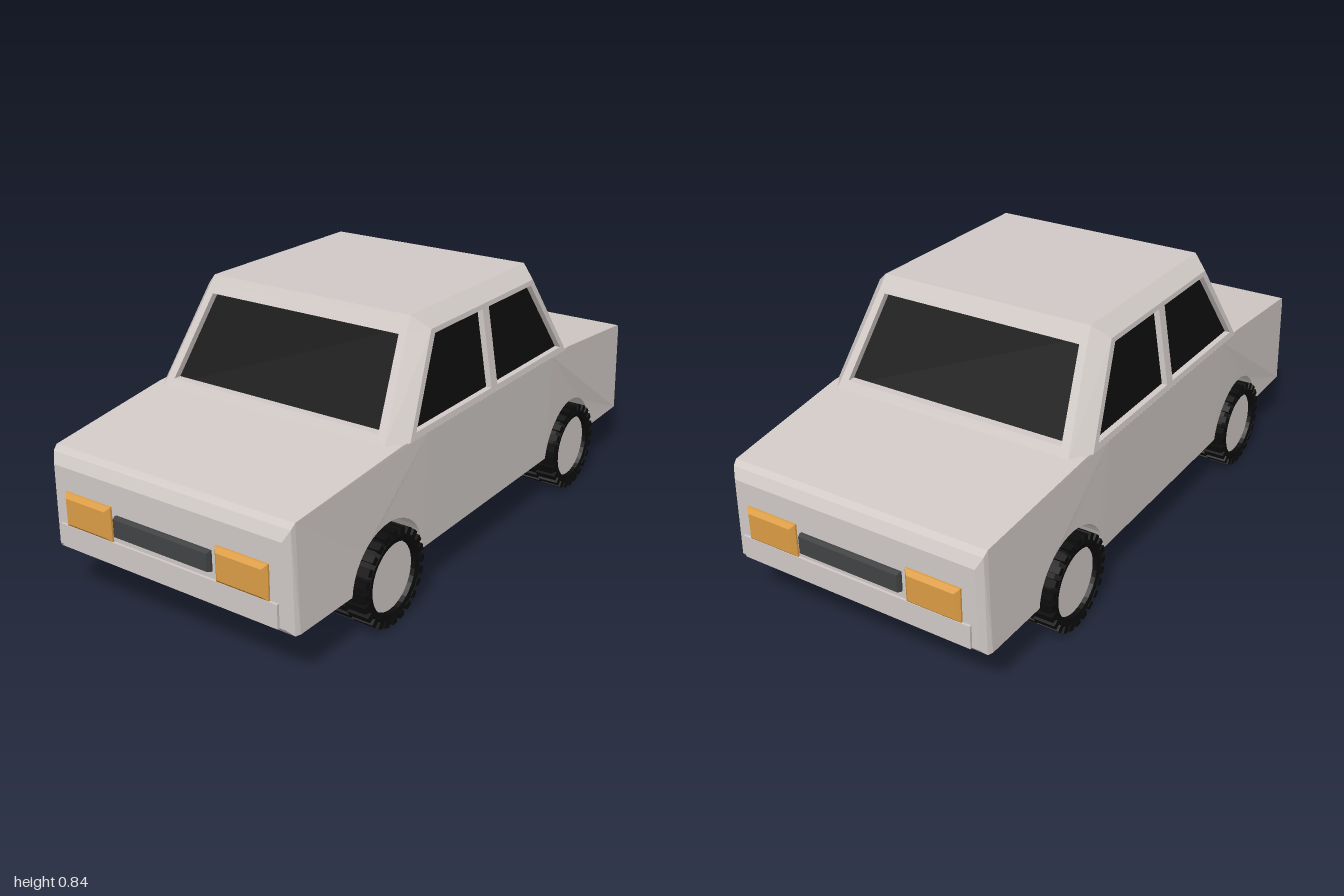
import * as THREE from 'three';

const mat = (color, side = THREE.FrontSide) =>
  new THREE.MeshStandardMaterial({ color, side, flatShading: true });
const paint = mat(0xd0c9c6), black = mat(0x0d0d0d), rubber = mat(0x0b0b0b, THREE.DoubleSide);
const amber = mat(0xdc9d45), dark = mat(0x414344);

function mesh(name, geometry, material, parent) {
  const m = new THREE.Mesh(geometry, material);
  m.name = name;
  parent.add(m);
  return m;
}

// Closed solid through matching rings of [x, y, z]; skip(band, side) leaves faces open
function loft(rings, skip = () => false) {
  const pos = [], n = rings[0].length, last = rings[rings.length - 1];
  const tri = (a, b, c) => pos.push(...a, ...b, ...c);
  for (let r = 0; r < rings.length - 1; r++) {
    for (let i = 0; i < n; i++) {
      if (skip(r, i)) continue;
      const j = (i + 1) % n, a = rings[r], b = rings[r + 1];
      tri(a[i], a[j], b[j]);
      tri(a[i], b[j], b[i]);
    }
  }
  for (let i = 1; i < n - 1; i++) {
    tri(rings[0][0], rings[0][i + 1], rings[0][i]);
    tri(last[0], last[i], last[i + 1]);
  }
  const g = new THREE.BufferGeometry();
  g.setAttribute('position', new THREE.Float32BufferAttribute(pos, 3));
  g.computeVertexNormals();
  return g;
}

const shapeOf = (pts, holes = []) => {
  const s = new THREE.Shape(pts.map(p => new THREE.Vector2(...p)));
  for (const h of holes) s.holes.push(new THREE.Path(h.map(p => new THREE.Vector2(...p))));
  return s;
};
const extrude = (shape, depth) =>
  new THREE.ExtrudeGeometry(shape, { depth, bevelEnabled: false });

// Move every vertex by a rule
function warp(g, rule) {
  const p = g.attributes.position, v = new THREE.Vector3();
  for (let i = 0; i < p.count; i++) {
    rule(v.fromBufferAttribute(p, i));
    p.setXYZ(i, v.x, v.y, v.z);
  }
  g.computeVertexNormals();
  return g;
}

const rect = (x0, x1, y0, y1, z) => [[x0, y0, z], [x1, y0, z], [x1, y1, z], [x0, y1, z]];
const trap = (lo, hi, y0, y1) => [[-lo, y0], [lo, y0], [hi, y1], [-hi, y1]];

// Half width of the body: widest at the doors, tapering to the ends
function halfWidth(z, y) {
  const t = Math.min(1, Math.max(0, (Math.abs(z) - 0.38) / 0.57));
  const k = (y - 0.16) / 0.365;
  return THREE.MathUtils.lerp(0.445 + 0.01 * k, 0.438 - 0.011 * k, t);
}

const CORE = 0.3, AXLE_Z = 0.555, AXLE_Y = 0.148;

// Wheel on the +x side, lying along x
function wheel(z) {
  const w = new THREE.Group();
  w.name = 'wheel';
  const profile = [[0, 0.335], [0.1, 0.335], [0.125, 0.322], [0.14, 0.335], [0.14, 0.45],
    [0.125, 0.465], [0.108, 0.462], [0.103, 0.44]].map(p => new THREE.Vector2(...p));
  mesh('tire', new THREE.LatheGeometry(profile, 32).rotateZ(-Math.PI / 2), rubber, w);
  const hub = new THREE.CylinderGeometry(0.105, 0.105, 0.05, 32).rotateZ(Math.PI / 2);
  mesh('hub', hub.translate(0.424, 0, 0), paint, w);
  // Staggered tread blocks in two rows
  for (let i = 0; i < 48; i++) {
    const a = (i / 48) * Math.PI * 2;
    const block = new THREE.BoxGeometry(0.07, 0.02, 0.021);
    block.translate(i % 2 ? 0.358 : 0.43, 0.138, 0).rotateX(a);
    mesh('treadBlock', block, rubber, w);
  }
  w.position.set(0, AXLE_Y, z);
  return w;
}

// Everything on the +x flank
function flank() {
  const g = new THREE.Group();
  const slab = pts => warp(extrude(shapeOf(pts), 1).rotateY(Math.PI / 2), v => {
    v.x = v.x < 0.5 ? CORE : halfWidth(v.z, v.y);
  });
  mesh('door', slab([[-0.38, 0.16], [0.38, 0.16], [0.38, 0.527], [-0.38, 0.527]]), paint, g);

  for (const s of [-1, 1]) {
    // Fender with wheel arch
    const pts = [[0.38, 0.16]];
    const a0 = Math.asin(0.015 / 0.172);
    for (let i = 0; i <= 20; i++) {
      const a = Math.PI - a0 - (i / 20) * (Math.PI - 2 * a0);
      pts.push([AXLE_Z + 0.172 * Math.cos(a), 0.145 + 0.172 * Math.sin(a)]);
    }
    pts.push([0.95, 0.16], [0.95, 0.477], [0.5, 0.527], [0.38, 0.527]);
    mesh('fender', slab(pts.map(([z, y]) => [z * s, y])), paint, g);
    g.add(wheel(AXLE_Z * s));
  }

  // Cabin side with two window openings
  const windows = [-1, 1].map(s =>
    [[0.018, 0.545], [0.435, 0.545], [0.283, 0.785], [0.018, 0.785]].map(([z, y]) => [z * s, y]));
  const side = extrude(shapeOf(trap(0.47, 0.3, 0.525, 0.8), windows), 0.022).rotateY(Math.PI / 2);
  mesh('cabinSide', warp(side, v => {
    v.x += 0.433 - (v.y - 0.525) * 0.045 / 0.275;
  }), paint, g);
  return g;
}

// Everything on the +z end
function end() {
  const g = new THREE.Group();
  const nose = loft([
    [[-0.438, 0.16, 0.95], [0.438, 0.16, 0.95], [0.429, 0.477, 0.95], [-0.429, 0.477, 0.95]],
    [[-0.432, 0.16, 0.965], [0.432, 0.16, 0.965], [0.426, 0.462, 0.965], [-0.426, 0.462, 0.965]],
    [[-0.415, 0.18, 0.982], [0.415, 0.18, 0.982], [0.41, 0.43, 0.982], [-0.41, 0.43, 0.982]],
  ]);
  mesh('nosePanel', nose, paint, g);
  mesh('bumper', new THREE.BoxGeometry(0.79, 0.072, 0.03).translate(0, 0.216, 0.975), paint, g);
  const bevelBox = (x0, x1, y0, y1, b) => loft([
    rect(x0, x1, y0, y1, 0.975), rect(x0, x1, y0, y1, 0.988),
    rect(x0 + b, x1 - b, y0 + b, y1 - b, 1)]);
  mesh('grille', bevelBox(-0.174, 0.174, 0.275, 0.337, 0.004), dark, g);
  mesh('lamp', bevelBox(0.19, 0.367, 0.252, 0.358, 0.013), amber, g);
  mesh('lamp', bevelBox(-0.367, -0.19, 0.252, 0.358, 0.013), amber, g);

  // Windscreen frame
  const frame = extrude(shapeOf(trap(0.41, 0.365, 0.525, 0.8), [trap(0.378, 0.342, 0.55, 0.79)]), 0.03);
  mesh('windscreenFrame', warp(frame, v => {
    v.z += 0.5 - (v.y - 0.525) * 0.174 / 0.275;
  }), paint, g);
  return g;
}

// Rectangle with chamfered corners, counter-clockwise from above
const octagon = (y, xs, zs, xf, zf) => [[xs, y, zs], [xs, y, -zs], [xf, y, -zf], [-xf, y, -zf],
  [-xs, y, -zs], [-xs, y, zs], [-xf, y, zf], [xf, y, zf]];

export function createModel() {
  const car = new THREE.Group();
  car.name = 'car';

  // Middle of the body, between the wheel wells
  const profile = [[-0.95, 0.16], [0.95, 0.16], [0.95, 0.477], [0.5, 0.527], [-0.5, 0.527], [-0.95, 0.477]];
  const middle = extrude(shapeOf(profile), CORE * 2).rotateY(Math.PI / 2).translate(-CORE, 0, 0);
  mesh('bodyMiddle', middle, paint, car);

  // Roof and corner pillars, with dark glass just inside
  const roof = loft([octagon(0.525, 0.455, 0.47, 0.41, 0.53), octagon(0.8, 0.41, 0.3, 0.365, 0.356),
    octagon(0.84, 0.36, 0.33, 0.36, 0.33)], (band, i) => band === 0 && i % 2 === 0);
  mesh('roofAndPillars', roof, paint, car);
  mesh('glass', loft([octagon(0.527, 0.436, 0.47, 0.39, 0.503),
    octagon(0.8, 0.391, 0.3, 0.345, 0.33)]), black, car);

  // Both flanks and both ends
  for (const turn of [0, Math.PI]) {
    const f = flank(), e = end();
    f.name = turn ? 'rightSide' : 'leftSide';
    e.name = turn ? 'rearEnd' : 'frontEnd';
    f.rotation.y = e.rotation.y = turn;
    car.add(f, e);
  }
  return car;
}
